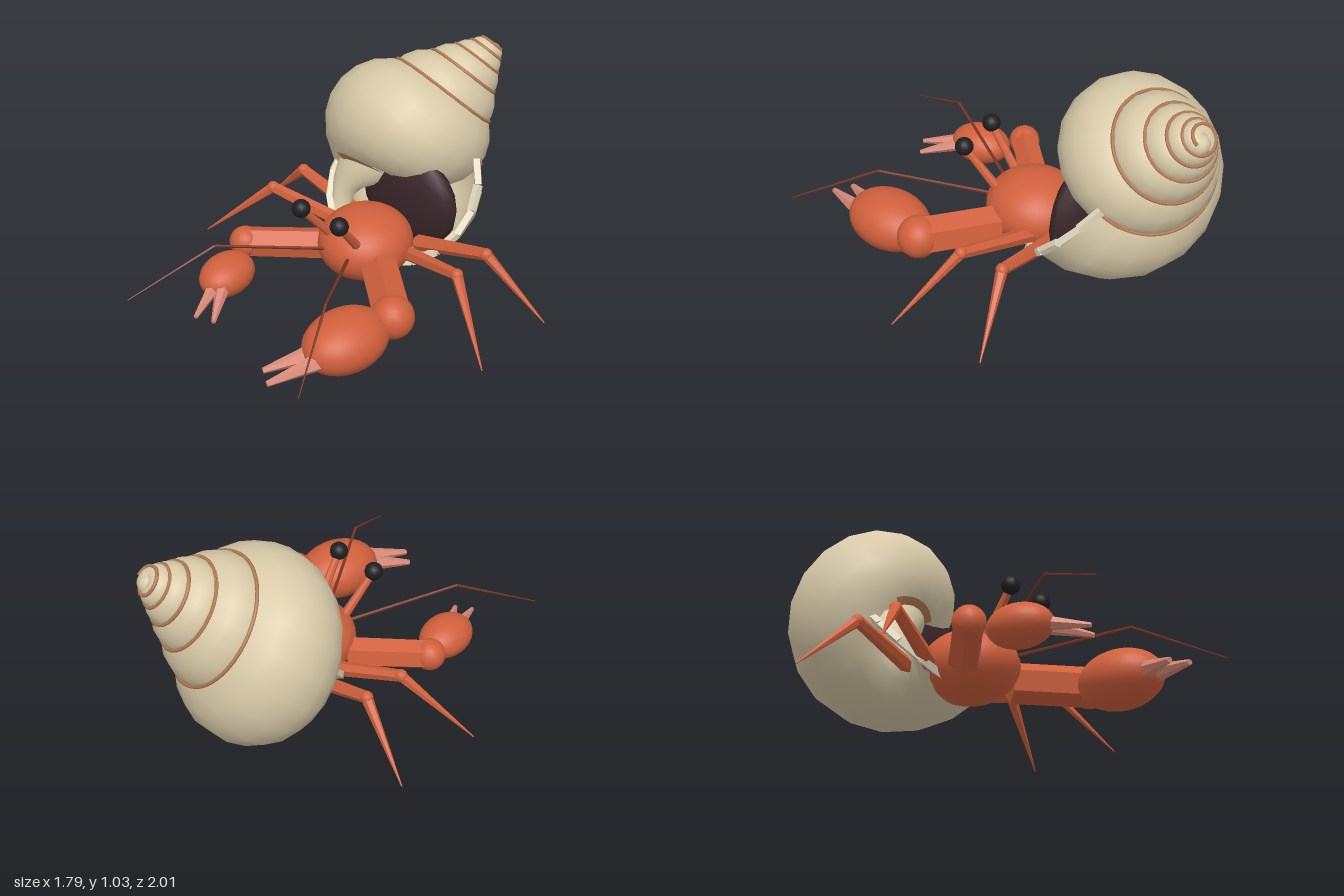
import * as THREE from 'three';

const V = (x, y, z) => new THREE.Vector3(x, y, z);
const paint = (name, color, side = THREE.FrontSide) => {
  const m = new THREE.MeshStandardMaterial({ color, side });
  m.name = name;
  return m;
};

export function createModel() {
  const root = new THREE.Group();
  root.name = 'hermitCrab';
  const red = paint('crabRed', 0xd0603c);
  const pink = paint('fingerPink', 0xd98a78);
  const brown = paint('antennaBrown', 0x7a3420);
  const black = paint('eyeBlack', 0x1f1f1f);
  const cream = paint('shellCream', 0xd8caa8, THREE.DoubleSide);
  const pale = paint('lipPale', 0xe0d6bc);
  const tan = paint('seamTan', 0xb57d52, THREE.DoubleSide);
  const dark = paint('mouthDark', 0x3a2629);

  const add = (name, geo, mat, parent = root) => {
    const mesh = new THREE.Mesh(geo, mat);
    mesh.name = name;
    parent.add(mesh);
    return mesh;
  };
  const flat = (geo) => {
    const g = geo.toNonIndexed();
    g.computeVertexNormals();
    return g;
  };
  const ball = (name, c, rx, ry, rz, mat, parent, seg = 24) => {
    const mesh = add(name, new THREE.SphereGeometry(1, seg, Math.round(seg * 0.7)), mat, parent);
    mesh.scale.set(rx, ry, rz);
    mesh.position.copy(c);
    return mesh;
  };
  // Tapered faceted rod from a to b
  const limb = (name, a, b, r0, r1, sides, mat, parent) => {
    const d = b.clone().sub(a);
    const mesh = add(name, flat(new THREE.CylinderGeometry(r1, r0, d.length(), sides)), mat, parent);
    mesh.position.copy(a).addScaledVector(d, 0.5);
    mesh.quaternion.setFromUnitVectors(V(0, 1, 0), d.normalize());
    return mesh;
  };

  // ---- Shell: a tube swept along a shrinking spiral about a tilted axis ----
  const apex = V(0.09, 1.05, -1.025);
  const axis = V(0.3, 0.66, -0.69).normalize();
  const out = V(0.94, -0.3, 0.15);
  out.addScaledVector(axis, -out.dot(axis)).normalize();
  const ahead = out.clone().cross(axis);
  const SHRINK = 0.68, RING = 0.17, TUBE = 0.382, DROP = 0.91;
  const DEG = Math.PI / 180;

  // Surface point: turns back from the mouth, degrees round the tube section
  const onShell = (turn, deg, k = 1) => {
    const s = Math.pow(SHRINK, turn), th = turn * Math.PI * 2, f = deg * DEG;
    const radial = out.clone().multiplyScalar(Math.cos(th)).addScaledVector(ahead, -Math.sin(th));
    return apex.clone()
      .addScaledVector(axis, s * (-DROP + TUBE * k * Math.sin(f)))
      .addScaledVector(radial, s * (RING + TUBE * k * Math.cos(f)));
  };
  const sweep = (t0, t1, n, f0, f1, m, k) => {
    const closed = f1 - f0 === 360;
    const cols = closed ? m : m + 1;
    const pos = [], idx = [];
    for (let i = 0; i <= n; i++) {
      for (let j = 0; j < cols; j++) {
        pos.push(...onShell(t0 + (t1 - t0) * i / n, f0 + (f1 - f0) * j / m, k).toArray());
      }
    }
    for (let i = 0; i < n; i++) {
      for (let j = 0; j < m; j++) {
        const j2 = (j + 1) % cols;
        const a = i * cols + j, b = a + cols, c = i * cols + j2, d = c + cols;
        idx.push(a, b, c, b, d, c);
      }
    }
    const g = new THREE.BufferGeometry();
    g.setAttribute('position', new THREE.Float32BufferAttribute(pos, 3));
    g.setIndex(idx);
    g.computeVertexNormals();
    return g;
  };

  const shell = new THREE.Group();
  shell.name = 'shell';
  root.add(shell);
  add('whorls', sweep(0, 5.1, 96, 0, 360, 20, 1.005), cream, shell);
  const tip = onShell(5.1, 0, 0);
  ball('shellTip', tip, 0.052, 0.052, 0.052, cream, shell, 12);

  // Coloured seam where neighbouring whorls meet
  const seam = [];
  for (let i = 0; i <= 100; i++) seam.push(onShell(i * 0.05, 57.7, 1.012));
  add('seam', new THREE.TubeGeometry(new THREE.CatmullRomCurve3(seam), 240, 0.009, 5), tan, shell);
  add('innerSeam', sweep(0.62, 0.86, 8, -98, -76, 3, 1.015), tan, shell);

  // Raised rim round the mouth
  const rim = [];
  for (let i = 0; i <= 13; i++) rim.push(onShell(0, 60 - i * 19.2, 1.04));
  for (let i = 0; i < 13; i++) limb('lip', rim[i], rim[i + 1], 0.023, 0.023, 4, pale, shell);
  ball('mouthInterior', V(0.03, 0.365, -0.37), 0.29, 0.265, 0.1, dark, shell, 14);

  // ---- Crab ----
  ball('body', V(0, 0.235, -0.07), 0.23, 0.175, 0.24, red, root, 32);

  for (const side of [1, -1]) {
    const P = (x, y, z) => V(x * side, y, z);
    const word = side > 0 ? 'left' : 'right';

    // Eyes and antennae
    limb(word + 'EyeStalk', P(0.085, 0.32, 0.09), P(0.118, 0.515, 0.25), 0.024, 0.018, 8, red);
    ball(word + 'Eye', P(0.12, 0.525, 0.255), 0.045, 0.045, 0.045, black, root, 16);
    limb(word + 'AntennaBase', P(0.065, 0.26, 0.13), P(0.352, 0.387, 0.605), 0.009, 0.007, 5, brown);
    limb(word + 'AntennaTip', P(0.352, 0.387, 0.605), P(0.545, 0.193, 0.997), 0.007, 0.003, 5, brown);

    // Claw: the left one is larger
    const big = side > 0;
    const k = big ? 1 : 0.7;
    const claw = new THREE.Group();
    claw.name = word + 'Claw';
    root.add(claw);
    const elbow = P(0.475, 0.2, 0.287);
    limb('arm', P(0.18, 0.19, 0.03), elbow, big ? 0.1 : 0.078, big ? 0.1 : 0.075, 6, red, claw);
    const re = big ? 0.104 : 0.078;
    ball('elbow', elbow, re, re, re, red, claw, 18);
    const palm = P(0.39, 0.155, big ? 0.517 : 0.5);
    ball('palm', palm, 0.17 * k, 0.14 * k, 0.225 * k, red, claw).rotation.y = -0.12 * side;
    const tips = big
      ? [[0.41, 0.15, 0.67, 0.296, 0.105, 0.937], [0.345, 0.15, 0.65, 0.217, 0.105, 0.88]]
      : [[0.37, 0.15, 0.6, 0.296, 0.11, 0.804], [0.33, 0.15, 0.59, 0.215, 0.1, 0.767]];
    for (const [a, b, c, d, e, f] of tips) {
      limb('finger', P(a, b, c), P(d, e, f), 0.048 * (big ? 1 : 0.75), big ? 0.014 : 0.011, 6, pink, claw);
    }

    // Walking legs: [start z, knee z, foot z]
    for (const [name, z0, z1, z2] of [['Front', -0.16, -0.037, 0.15], ['Rear', -0.265, -0.262, -0.337]]) {
      const leg = new THREE.Group();
      leg.name = word + name + 'Leg';
      root.add(leg);
      const knee = P(0.59, 0.317, z1);
      limb('upperLeg', P(0.17, 0.2, z0), knee, 0.04, 0.029, 6, red, leg);
      ball('knee', knee, 0.031, 0.031, 0.031, red, leg, 12);
      limb('lowerLeg', knee, P(0.895, 0.022, z2), 0.028, 0.003, 6, red, leg);
    }
  }
  return root;
}
